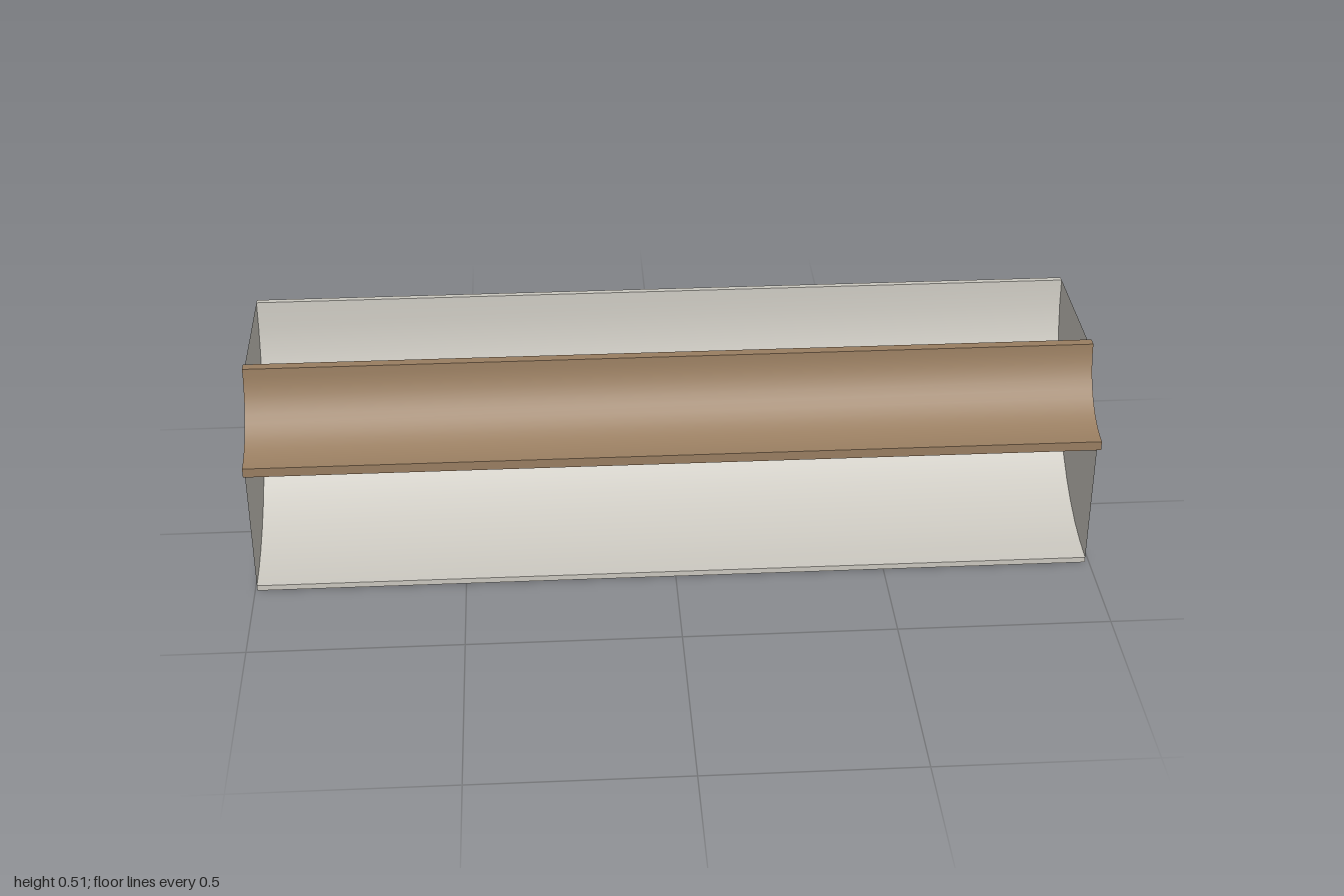
import * as THREE from 'three';
import { toCreasedNormals } from 'three/addons/utils/BufferGeometryUtils.js';

// All arcs share one axis along x, at the top front edge.
const AXIS_Y = 0.509, AXIS_Z = 0.255, SEGMENTS = 6;

// Quarter-ring cross-section; shape x runs toward the back (-z).
function quarterRing(inner, outer) {
  const s = new THREE.Shape();
  s.absarc(-AXIS_Z, AXIS_Y, outer, -Math.PI / 2, 0, false);
  s.absarc(-AXIS_Z, AXIS_Y, inner, 0, -Math.PI / 2, true);
  s.closePath();
  return s;
}

export function createModel() {
  const group = new THREE.Group();
  const grey = new THREE.MeshStandardMaterial({ color: 0xc9c6be, side: THREE.DoubleSide });
  grey.name = 'warm grey';
  const brown = new THREE.MeshStandardMaterial({ color: 0x987d60 });
  brown.name = 'brown';

  const add = (name, geometry, material) => {
    const mesh = new THREE.Mesh(geometry, material);
    mesh.name = name;
    group.add(mesh);
  };

  // Long curved bar with smooth faces and sharp rims
  const curvedBar = (name, inner, outer, x0, x1, material) => {
    const g = new THREE.ExtrudeGeometry(quarterRing(inner, outer),
      { depth: x1 - x0, bevelEnabled: false, curveSegments: SEGMENTS });
    g.translate(0, 0, x0);
    g.rotateY(Math.PI / 2);
    add(name, toCreasedNormals(g, 0.6), material);
  };

  const left = 0.99, right = -0.995;
  curvedBar('outerShell', 0.495, 0.509, right, left, grey);
  curvedBar('innerTrim', 0.168, 0.191, -1, 1, brown);

  // Thin end panels closing the space between shell and trim
  for (const [name, x] of [['leftEndPanel', left], ['rightEndPanel', right]]) {
    const g = new THREE.ShapeGeometry(quarterRing(0.191, 0.495), SEGMENTS);
    g.rotateY(x > 0 ? Math.PI / 2 : Math.PI / 2);
    g.translate(x, 0, 0);
    add(name, g, grey);
  }
  return group;
}
